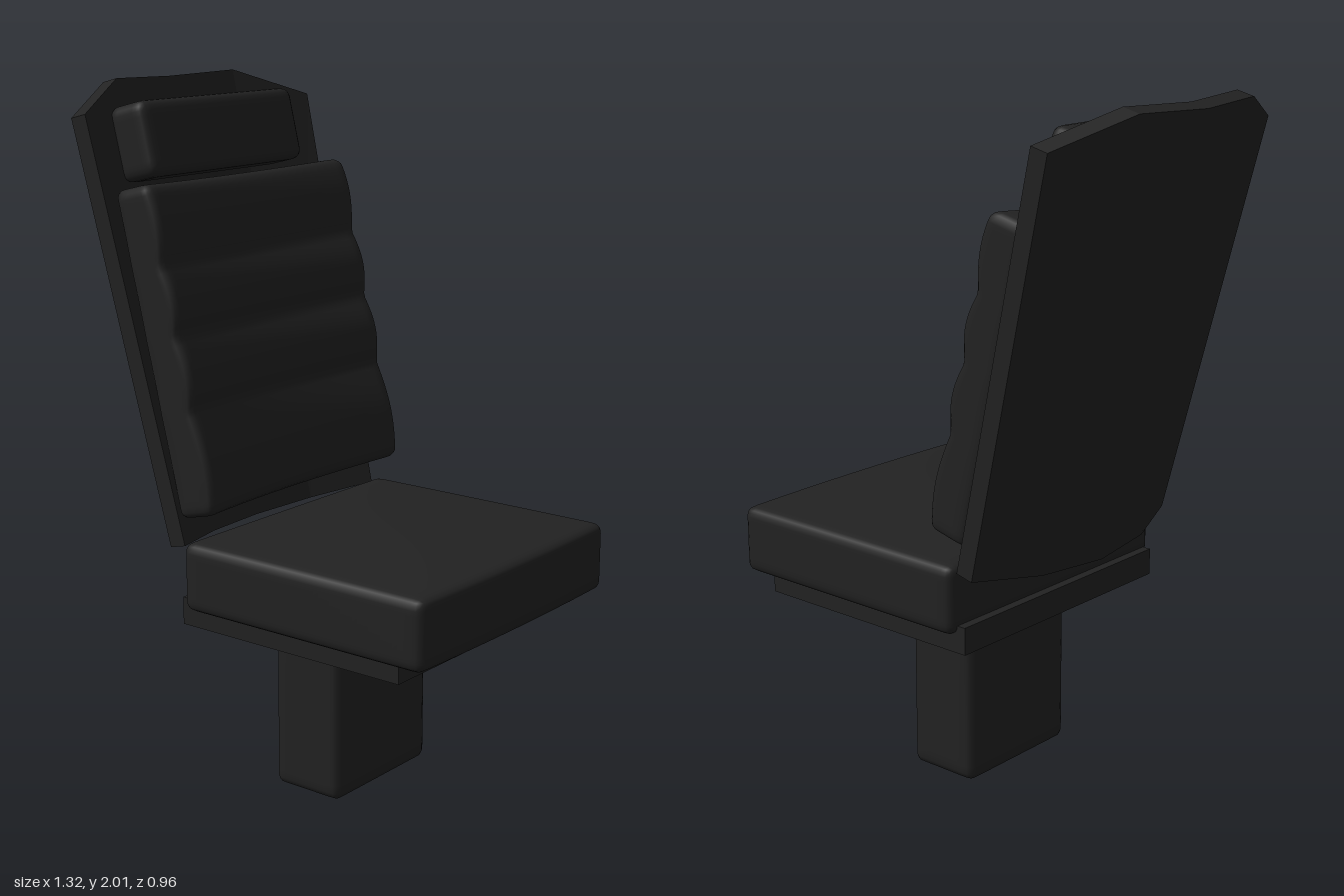
import * as THREE from 'three';
import { mergeVertices } from 'three/addons/utils/BufferGeometryUtils.js';

const black = new THREE.MeshStandardMaterial({ color: 0x222222 });
black.name = 'matte black';

// Moves every vertex of a geometry by a rule.
function deform(geo, rule) {
  const pos = geo.attributes.position;
  const v = new THREE.Vector3();
  for (let i = 0; i < pos.count; i++) {
    rule(v.fromBufferAttribute(pos, i));
    pos.setXYZ(i, v.x, v.y, v.z);
  }
  return geo;
}

// Smooth box with rounded edges and evenly divided faces, optionally reshaped by a rule.
function softBox(size, radius, segments, rule) {
  let geo = new THREE.BoxGeometry(...size, ...segments);
  geo.deleteAttribute('uv');
  geo.deleteAttribute('normal');
  geo = mergeVertices(geo);
  const inner = new THREE.Vector3(...size).multiplyScalar(0.5).subScalar(radius);
  const low = inner.clone().negate();
  const core = new THREE.Vector3();
  deform(geo, (p) => {
    core.copy(p).clamp(low, inner);
    p.sub(core).setLength(radius).add(core);
    if (rule) rule(p);
  });
  geo.computeVertexNormals();
  return geo;
}

function add(parent, name, geo, x = 0, y = 0, z = 0) {
  const mesh = new THREE.Mesh(geo, black);
  mesh.name = name;
  mesh.position.set(x, y, z);
  parent.add(mesh);
}

// Folded backrest panel: four facets across, wider towards the top, clipped corners.
function shellGeometry() {
  const across = [-1, -0.52, 0, 0.52, 1];
  const depth = [0.11, 0.03, 0, 0.03, 0.11];
  const height = [1.217, 1.32, 1.32, 1.32, 1.217];
  const geo = deform(new THREE.BoxGeometry(1, 1, 1, 1, 1, 4), (p) => {
    const i = Math.round((p.z + 0.5) * 4);
    const top = p.y > 0;
    p.x = depth[i] + (p.x > 0 ? 0.055 : 0);
    p.y = top ? height[i] : 0;
    p.z = across[i] * (top ? 0.478 : 0.43);
  }).toNonIndexed();
  geo.computeVertexNormals();
  return geo;
}

// Back cushion: four padded rolls, hollowed across to follow the shell.
function backCushionGeometry() {
  const seams = [0.06, 0.37, 0.577, 0.775, 1.02];
  return softBox([0.13, 0.925, 0.86], 0.025, [8, 60, 44], (p) => {
    const u = p.y + 0.5375;
    let k = 0;
    while (k < 3 && u > seams[k + 1]) k++;
    const t = (u - seams[k]) / (seams[k + 1] - seams[k]);
    const roll = 0.022 * Math.sin(Math.PI * THREE.MathUtils.clamp(t, 0, 1));
    const front = THREE.MathUtils.clamp(p.x / 0.13 + 0.5, 0, 1);
    const hollow = 1 - (p.z / 0.43) ** 2;
    p.x += 0.23 + front * (roll - 0.006) - hollow * THREE.MathUtils.lerp(0.09, 0.045, front);
    p.y = u;
  });
}

export function createModel() {
  const chair = new THREE.Group();
  chair.name = 'chair';

  // Pedestal and mounting plate
  add(chair, 'pedestal', softBox([0.23, 0.495, 0.43], 0.025, [12, 22, 20]), 0.078, 0.2505);
  add(chair, 'seatPlate', new THREE.BoxGeometry(0.755, 0.08, 0.84), 0.178, 0.555);

  // Seat cushion with a slightly domed top and bowed front edge
  const seat = softBox([0.82, 0.2, 0.9], 0.028, [44, 14, 48], (p) => {
    const crownX = 1 - (p.x / 0.41) ** 2;
    const crownZ = 1 - (p.z / 0.45) ** 2;
    if (p.y > 0) p.y += 0.1 * p.y * crownX * crownZ;
    if (p.x > 0) p.x += 0.025 * p.x * crownZ;
  });
  add(chair, 'seatCushion', seat, 0.237, 0.667);

  // Reclined backrest, with its origin at the lower rear edge
  const back = new THREE.Group();
  back.name = 'backrest';
  back.position.set(-0.34, 0.711, 0);
  back.rotation.z = THREE.MathUtils.degToRad(14);
  chair.add(back);
  add(back, 'backShell', shellGeometry());
  add(back, 'backCushion', backCushionGeometry());
  add(back, 'headrest', softBox([0.14, 0.215, 0.655], 0.03, [10, 14, 36]), 0.165, 1.128);

  return chair;
}
